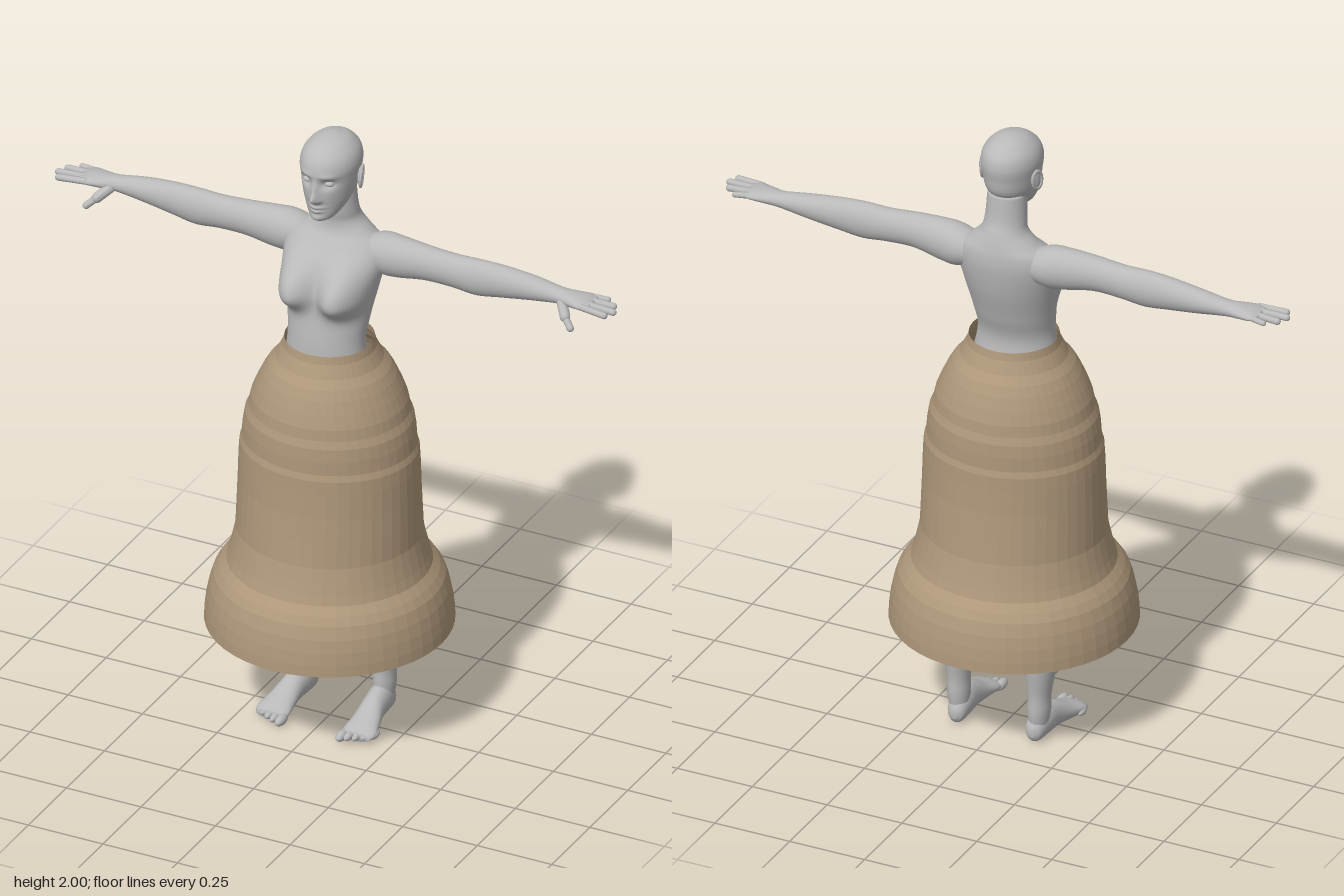
import * as THREE from 'three';

const skin = new THREE.MeshStandardMaterial({ color: 0xb9b9b9 });
skin.name = 'grey skin';
const cloth = new THREE.MeshStandardMaterial({ color: 0xae977a, side: THREE.DoubleSide });
cloth.name = 'tan cloth';

// Smooth closed tube of elliptical rings along one axis.
// Rows are [t, a, b, ra, rb]: place on the axis, ring centre, ring radii.
const place = {
  x: (t, a, b) => [t, a, b],
  y: (t, a, b) => [a, t, b],
  z: (t, a, b) => [a, b, t],
};
function loft(axis, rows, n = 32, steps = 48, shift = null) {
  const curve = (f) => new THREE.CatmullRomCurve3(rows.map(f), false, 'catmullrom', 0.5);
  const centres = curve((r) => new THREE.Vector3(r[0], r[1], r[2]));
  const radii = curve((r) => new THREE.Vector3(r[3], r[4], 0));
  const pos = [], index = [];
  const put = (t, a, b, front) => {
    const p = place[axis](t, a, b);
    if (shift) p[2] += shift(p[0], p[1]) * THREE.MathUtils.smoothstep(front, -0.1, 0.5);
    pos.push(...p);
  };
  const tri = (p, q, r) => (axis === 'y' ? index.push(p, r, q) : index.push(p, q, r));
  for (let i = 0; i <= steps; i++) {
    const c = centres.getPoint(i / steps), r = radii.getPoint(i / steps);
    for (let j = 0; j < n; j++) {
      const w = (j / n) * Math.PI * 2;
      put(c.x, c.y + r.x * Math.cos(w), c.z + r.y * Math.sin(w), Math.sin(w));
    }
  }
  for (let i = 0; i < steps; i++) {
    for (let j = 0; j < n; j++) {
      const p = i * n + j, q = i * n + ((j + 1) % n);
      tri(p, q, p + n);
      tri(q, q + n, p + n);
    }
  }
  // end caps
  const first = rows[0], last = rows[rows.length - 1], k = (steps + 1) * n;
  put(first[0], first[1], first[2], 0);
  put(last[0], last[1], last[2], 0);
  for (let j = 0; j < n; j++) {
    const m = (j + 1) % n;
    tri(k, m, j);
    tri(k + 1, steps * n + j, steps * n + m);
  }
  const g = new THREE.BufferGeometry();
  g.setAttribute('position', new THREE.Float32BufferAttribute(pos, 3));
  g.setIndex(index);
  g.computeVertexNormals();
  return g;
}

// Round-ended rod between two points
function rod(from, to, r) {
  const a = new THREE.Vector3(...from), d = new THREE.Vector3(...to).sub(a);
  const g = new THREE.CapsuleGeometry(r, d.length(), 5, 12);
  const turn = new THREE.Quaternion().setFromUnitVectors(new THREE.Vector3(0, 1, 0), d.clone().normalize());
  return g.applyQuaternion(turn).translate(a.x + d.x / 2, a.y + d.y / 2, a.z + d.z / 2);
}

function ball(x, y, z, rx, ry, rz) {
  return new THREE.SphereGeometry(1, 20, 14).scale(rx, ry, rz).translate(x, y, z);
}

function mirrored(geometry) {
  const g = geometry.clone().scale(-1, 1, 1);
  const ix = g.index.array;
  for (let i = 0; i < ix.length; i += 3) [ix[i], ix[i + 1]] = [ix[i + 1], ix[i]];
  g.computeVertexNormals();
  return g;
}

const bump = (dx, dy, power = 1) => Math.exp(-Math.pow(dx * dx + dy * dy, power));

// Bust: full below, sloping above
function bust(x, y) {
  const dy = y - 1.495;
  return 0.072 * bump((Math.abs(x) - 0.083) / 0.063, dy / (dy > 0 ? 0.082 : 0.057), 1.3);
}

// Nose, eye sockets, brow, lips and chin
function face(x, y) {
  const ax = Math.abs(x);
  return 0.026 * bump(x / 0.012, (y - 1.829) / 0.017)
    + 0.012 * bump(x / 0.011, (y - 1.858) / 0.026)
    + 0.007 * bump((ax - 0.013) / 0.008, (y - 1.822) / 0.009)
    - 0.015 * bump((ax - 0.036) / 0.02, (y - 1.877) / 0.015)
    + 0.005 * bump((ax - 0.036) / 0.026, (y - 1.904) / 0.009)
    + 0.009 * bump(x / 0.023, (y - 1.796) / 0.006)
    + 0.009 * bump(x / 0.02, (y - 1.782) / 0.006)
    + 0.006 * bump(x / 0.02, (y - 1.757) / 0.012);
}

export function createModel() {
  const model = new THREE.Group();
  model.name = 'woman in skirt';
  const add = (name, geometry, material = skin) => {
    const mesh = new THREE.Mesh(geometry, material);
    mesh.name = name;
    model.add(mesh);
  };
  const pair = (name, geometry) => {
    add(name + 'Left', geometry);
    add(name + 'Right', mirrored(geometry));
  };

  // Torso and neck
  add('torso', loft('y', [
    [0.92, 0, -0.02, 0.07, 0.06], [1.0, 0, -0.02, 0.175, 0.12], [1.1, 0, -0.01, 0.175, 0.12],
    [1.2, 0, 0.01, 0.145, 0.105], [1.31, 0, 0.02, 0.123, 0.094], [1.4, 0, 0.003, 0.13, 0.102],
    [1.5, 0, -0.02, 0.148, 0.11], [1.58, 0, -0.037, 0.162, 0.108], [1.63, 0, -0.055, 0.148, 0.09],
    [1.665, 0, -0.065, 0.105, 0.073], [1.7, 0, -0.063, 0.072, 0.064], [1.74, 0, -0.053, 0.064, 0.06],
    [1.82, 0, -0.045, 0.06, 0.058],
  ], 72, 110, bust));

  // Head
  add('head', loft('y', [
    [1.741, 0, 0.047, 0.018, 0.027], [1.755, 0, 0.038, 0.04, 0.05], [1.79, 0, 0.012, 0.063, 0.078],
    [1.83, 0, -0.006, 0.077, 0.102], [1.88, 0, -0.011, 0.086, 0.109], [1.92, 0, -0.013, 0.09, 0.112],
    [1.955, 0, -0.016, 0.08, 0.099], [1.984, 0, -0.019, 0.053, 0.065], [1.997, 0, -0.02, 0.022, 0.028],
    [2.0, 0, -0.02, 0.004, 0.004],
  ], 96, 110, face));
  pair('eye', ball(0.035, 1.877, 0.072, 0.016, 0.01, 0.013));
  pair('ear', ball(0, 0, 0, 0.008, 0.034, 0.02).rotateX(-0.2).rotateY(0.3).translate(0.087, 1.866, -0.03));
  pair('earRim', new THREE.TorusGeometry(0.02, 0.005, 8, 24).scale(0.95, 1.55, 1)
    .rotateY(Math.PI / 2 + 0.3).rotateX(-0.2).translate(0.092, 1.866, -0.03));

  // Arms
  pair('arm', loft('x', [
    [0.07, 1.6, -0.065, 0.04, 0.045], [0.15, 1.603, -0.062, 0.066, 0.06], [0.21, 1.605, -0.057, 0.066, 0.055],
    [0.3, 1.61, -0.053, 0.056, 0.045], [0.39, 1.606, -0.055, 0.054, 0.041], [0.47, 1.603, -0.056, 0.059, 0.04],
    [0.55, 1.607, -0.06, 0.052, 0.039], [0.65, 1.609, -0.064, 0.039, 0.036], [0.74, 1.608, -0.063, 0.025, 0.03],
    [0.785, 1.609, -0.06, 0.021, 0.039], [0.83, 1.611, -0.058, 0.016, 0.049], [0.856, 1.611, -0.058, 0.008, 0.043],
  ], 28, 60));

  // Fingers, from index to little, and thumb
  [[-0.02, -0.01, 0.915], [-0.045, -0.04, 0.93], [-0.07, -0.073, 0.915], [-0.093, -0.102, 0.882]]
    .forEach(([z0, z1, tip], i) => pair('finger' + (i + 1), rod([0.83, 1.612, z0], [tip, 1.609, z1], i === 3 ? 0.009 : 0.0105)));
  pair('thumbBase', rod([0.755, 1.6, -0.045], [0.785, 1.573, -0.008], 0.016));
  pair('thumbTip', rod([0.785, 1.573, -0.008], [0.812, 1.549, 0.01], 0.011));

  // Legs
  pair('leg', loft('y', [
    [0.045, 0.132, -0.1, 0.028, 0.035], [0.1, 0.134, -0.1, 0.034, 0.042], [0.16, 0.135, -0.1, 0.035, 0.042],
    [0.25, 0.137, -0.1, 0.048, 0.054], [0.34, 0.135, -0.1, 0.058, 0.062], [0.42, 0.13, -0.093, 0.057, 0.062],
    [0.52, 0.125, -0.07, 0.054, 0.058], [0.6, 0.12, -0.06, 0.064, 0.065], [0.8, 0.105, -0.035, 0.083, 0.09],
    [0.95, 0.095, -0.02, 0.085, 0.1], [1.03, 0.09, -0.02, 0.06, 0.08],
  ], 28, 50));

  // Feet
  pair('foot', loft('z', [
    [-0.145, 0.13, 0.038, 0.01, 0.015], [-0.128, 0.13, 0.043, 0.028, 0.038], [-0.08, 0.132, 0.055, 0.036, 0.051],
    [-0.02, 0.136, 0.05, 0.037, 0.045], [0.04, 0.142, 0.034, 0.046, 0.031], [0.085, 0.145, 0.025, 0.054, 0.021],
    [0.112, 0.143, 0.02, 0.047, 0.014],
  ], 28, 36));
  for (let i = 0; i < 5; i++) {
    const r = i === 0 ? 0.015 : 0.0125 - i * 0.0005;
    pair('toe' + (i + 1), ball(0.102 + i * 0.0222, 0.018 + (i ? 0.003 : 0), 0.118 - i * i * 0.0022 - i * 0.002, r, r * 1.05, 0.032 - i * 0.002));
  }

  // Bell-shaped open skirt, faceted, a little flatter from front to back at mid height
  const profile = [
    [0.376, 0.345], [0.374, 0.38], [0.369, 0.42], [0.361, 0.46], [0.348, 0.5], [0.332, 0.525], [0.31, 0.55],
    [0.301, 0.58], [0.293, 0.615], [0.287, 0.645], [0.284, 0.66], [0.282, 0.74], [0.28, 0.82], [0.278, 0.9],
    [0.275, 0.945], [0.268, 0.965], [0.264, 1.01], [0.257, 1.05], [0.246, 1.075], [0.238, 1.11],
    [0.222, 1.15], [0.203, 1.19], [0.185, 1.22], [0.163, 1.245], [0.15, 1.27], [0.142, 1.285], [0.136, 1.31],
  ].map(([r, y]) => new THREE.Vector2(r, y));
  let skirt = new THREE.LatheGeometry(profile, 48);
  const p = skirt.attributes.position;
  for (let i = 0; i < p.count; i++) {
    p.setZ(i, p.getZ(i) * (1 - 0.1 * bump((p.getY(i) - 0.9) / 0.24, 0)));
  }
  skirt = skirt.toNonIndexed();
  skirt.computeVertexNormals();
  add('skirt', skirt, cloth);

  return model;
}
